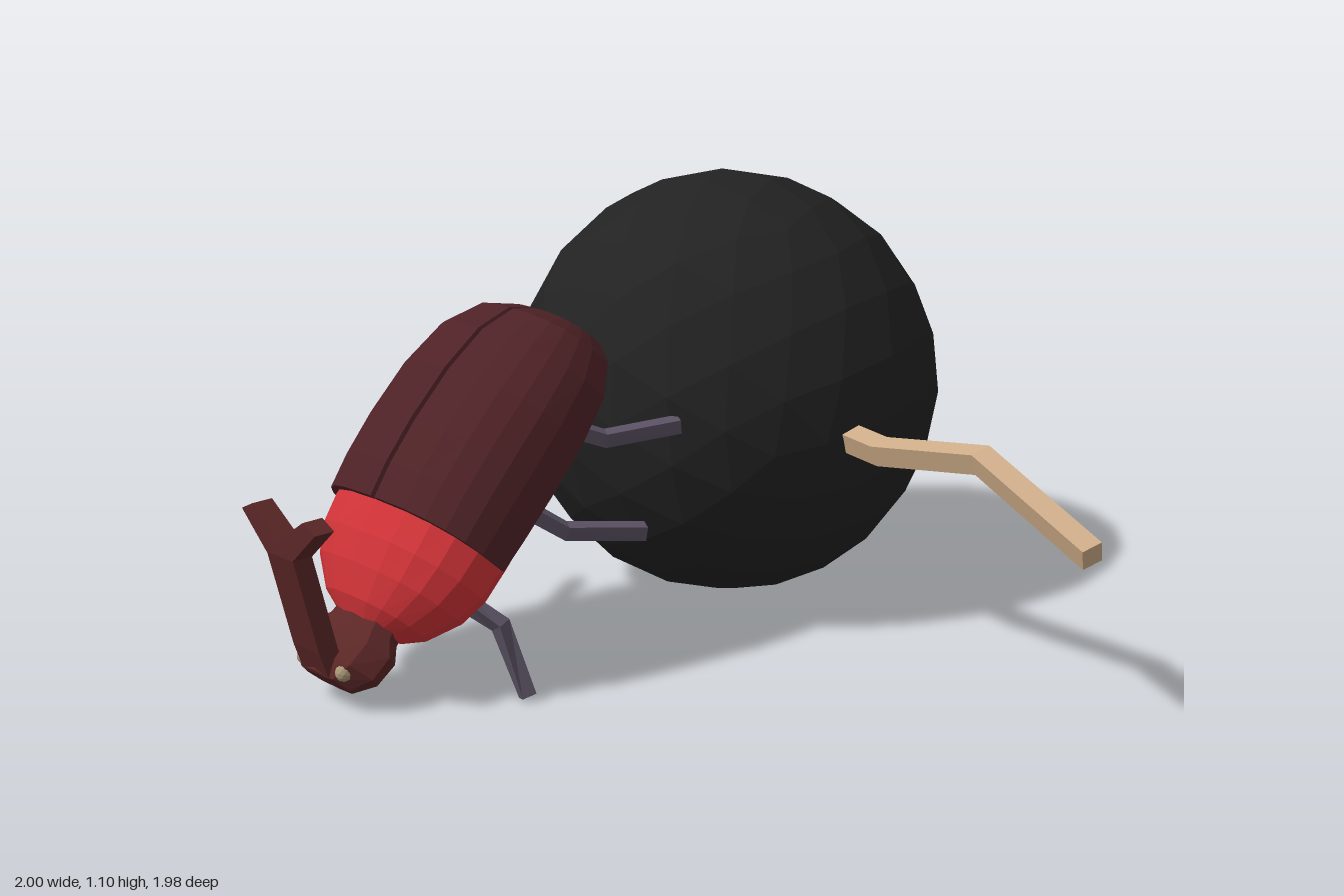
import * as THREE from 'three';

const mat = (name, color) => {
  const m = new THREE.MeshStandardMaterial({ color, flatShading: true });
  m.name = name;
  return m;
};

// Skins a list of equal-length point rings and closes both ends
function skin(rings) {
  const pos = [];
  const tri = (...pts) => pts.forEach(p => pos.push(p.x, p.y, p.z));
  const n = rings[0].length;
  for (let i = 0; i < rings.length - 1; i++) {
    for (let j = 0; j < n; j++) {
      const k = (j + 1) % n;
      tri(rings[i][j], rings[i][k], rings[i + 1][k]);
      tri(rings[i][j], rings[i + 1][k], rings[i + 1][j]);
    }
  }
  const cap = (ring, flip) => {
    const c = ring.reduce((s, p) => s.add(p), new THREE.Vector3()).divideScalar(n);
    ring.forEach((p, j) => {
      const q = ring[(j + 1) % n];
      flip ? tri(c, q, p) : tri(c, p, q);
    });
  };
  cap(rings[0], true);
  cap(rings[rings.length - 1], false);
  const g = new THREE.BufferGeometry();
  g.setAttribute('position', new THREE.Float32BufferAttribute(pos, 3));
  g.computeVertexNormals();
  return g;
}

// Square bar swept along a bent path with mitred joints
function bar(points, size) {
  const p = points.map(a => new THREE.Vector3(...a));
  const up = new THREE.Vector3(0, 1, 0.3).normalize();
  return skin(p.map((c, i) => {
    const t = p[Math.min(i + 1, p.length - 1)].clone().sub(p[Math.max(i - 1, 0)]).normalize();
    const u = up.clone().cross(t).normalize();
    const v = t.clone().cross(u);
    return [[1, 1], [-1, 1], [-1, -1], [1, -1]].map(([a, b]) =>
      c.clone().addScaledVector(u, a * size / 2).addScaledVector(v, b * size / 2));
  }));
}

// Rounded ring: half width w, top and bottom heights around mid
const power = (v, e) => Math.sign(v) * Math.pow(Math.abs(v), e);
function ovalRing([s, w, top, bottom], mid, sides, e) {
  return Array.from({ length: sides }, (_, j) => {
    const a = j / sides * Math.PI * 2;
    const y = power(Math.sin(a), e);
    return new THREE.Vector3(w * power(Math.cos(a), e), mid + y * (y > 0 ? top - mid : mid - bottom), s);
  });
}

// Wing case ring: arched top with a groove down the middle, flat underneath
function shellRing([s, w, top]) {
  const half = [0, 14, 28, 43, 58, 73].map(d => {
    const a = d * Math.PI / 180;
    return [w * Math.pow(Math.cos(a), 0.75), top * Math.pow(Math.sin(a), 0.75)];
  });
  half.push([0.008, top]);
  const pts = [...half, [0, top - 0.025], ...half.slice().reverse().map(([x, y]) => [-x, y])];
  return pts.map(([x, y]) => new THREE.Vector3(x, y, s));
}

export function createModel() {
  const black = mat('ball black', 0x222222);
  const maroon = mat('shell maroon', 0x4e2226);
  const brown = mat('head brown red', 0x5c2727);
  const red = mat('body red', 0xcf3337);
  const grey = mat('leg grey', 0x5a5162);
  const tan = mat('wood tan', 0xcdac88);
  const eyeTan = mat('eye tan', 0xa89674);

  const model = new THREE.Group();
  const add = (parent, name, geometry, material, x = 0, y = 0, z = 0) => {
    const m = new THREE.Mesh(geometry, material);
    m.name = name;
    m.position.set(x, y, z);
    parent.add(m);
    return m;
  };

  // Ball and the stick poking out of it
  add(model, 'ball', new THREE.IcosahedronGeometry(0.555, 3), black, -0.447, 0.553, -0.443).rotation.x = 0.15;
  add(model, 'stick', bar([[-0.05, 0.53, -0.38], [0.21, 0.525, -0.342], [0.595, 0.605, -0.275], [0.99, 0.485, -0.205]], 0.054), tan);

  const beetle = new THREE.Group();
  beetle.name = 'beetle';
  beetle.position.x = -0.45;
  model.add(beetle);

  // Tilted trunk, running head-down along its own z
  const trunk = new THREE.Group();
  trunk.name = 'trunk';
  trunk.position.set(0, 0.56, 0.34);
  trunk.rotation.x = 0.813;
  beetle.add(trunk);

  const body = [
    [-0.305, 0.08, 0.05, -0.005], [-0.27, 0.17, 0.1, -0.014], [-0.15, 0.25, 0.17, -0.024],
    [0.1, 0.28, 0.2, -0.03], [0.3, 0.278, 0.215, -0.048], [0.39, 0.268, 0.2, -0.065],
    [0.46, 0.235, 0.172, -0.07], [0.53, 0.165, 0.128, -0.055], [0.563, 0.1, 0.086, -0.03],
  ];
  add(trunk, 'body', skin(body.map(b => ovalRing(b, 0, 20, 0.8))), red);

  const shell = [
    [-0.325, 0.09, 0.07], [-0.31, 0.15, 0.115], [-0.27, 0.21, 0.175], [-0.18, 0.265, 0.222],
    [-0.05, 0.288, 0.245], [0.1, 0.292, 0.25], [0.22, 0.29, 0.243], [0.31, 0.285, 0.228],
  ];
  add(trunk, 'wingCases', skin(shell.map(shellRing)), maroon);

  const head = [
    [0.53, 0.1, 0.09, -0.03], [0.575, 0.11, 0.092, -0.034], [0.615, 0.145, 0.11, -0.038],
    [0.68, 0.135, 0.115, -0.03], [0.725, 0.085, 0.1, 0.0],
  ];
  add(trunk, 'head', skin(head.map(h => ovalRing(h, 0.04, 8, 0.85))), brown);

  // Horn shaft and its forked tip
  const shaft = [[0.09, 0.875], [0.16, 0.9], [0.41, 0.963]].map(([y, z]) =>
    [[0.052, 0.027], [-0.052, 0.027], [-0.052, -0.027], [0.052, -0.027]]
      .map(([x, dz]) => new THREE.Vector3(x, y, z + dz)).reverse());
  add(beetle, 'hornShaft', skin(shaft), brown);
  const fork = new THREE.Shape([
    [-0.052, 0.405], [0.052, 0.405], [0.145, 0.49], [0.1, 0.512],
    [0, 0.445], [-0.1, 0.512], [-0.145, 0.49],
  ].map(p => new THREE.Vector2(...p)));
  add(beetle, 'hornFork', new THREE.ExtrudeGeometry(fork, { depth: 0.055, bevelEnabled: false }), brown, 0, 0, 0.935);

  // Paired eyes and legs
  const legs = {
    frontLeg: [[0.17, 0.25, 0.6], [0.245, 0.185, 0.535], [0.305, 0.012, 0.505]],
    middleLeg: [[0.2, 0.45, 0.43], [0.25, 0.375, 0.33], [0.338, 0.355, 0.152]],
    rearLeg: [[0.17, 0.62, 0.29], [0.225, 0.572, 0.18], [0.31, 0.592, 0.012]],
  };
  for (const [side, label] of [[1, 'left '], [-1, 'right ']]) {
    add(trunk, label + 'eye', new THREE.IcosahedronGeometry(0.022, 1), eyeTan, side * 0.077, 0.078, 0.698);
    for (const [name, path] of Object.entries(legs)) {
      add(beetle, label + name, bar(path.map(([x, y, z]) => [side * x, y, z]), 0.036), grey);
    }
  }
  return model;
}
